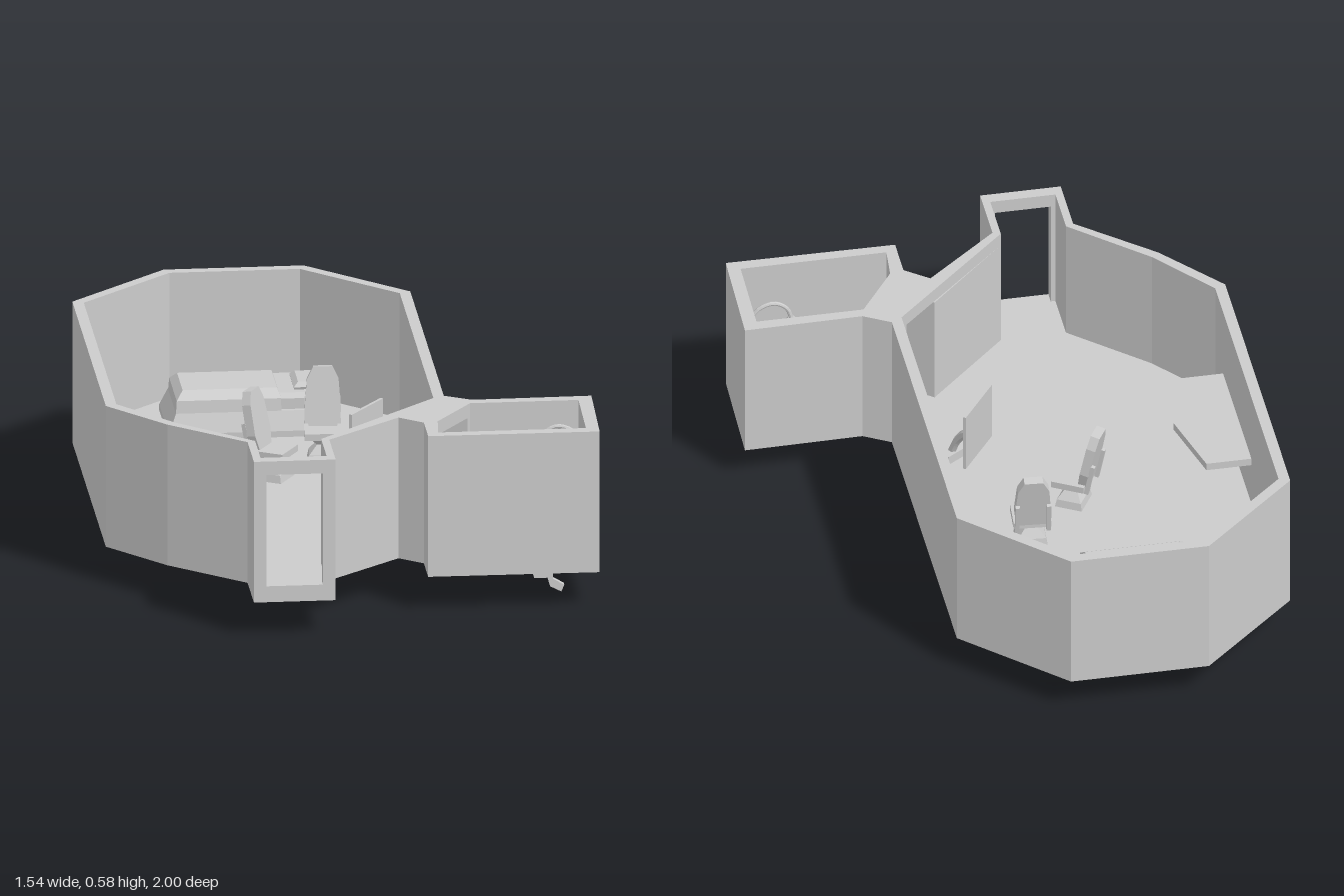
import * as THREE from 'three';

const mat = new THREE.MeshStandardMaterial({ color: 0xcccccc, flatShading: true, side: THREE.DoubleSide });
const FLOOR = 0.17, LINTEL = 0.54, TOP = 0.585;

function add(parent, name, geo, x = 0, y = 0, z = 0) {
  const m = new THREE.Mesh(geo, mat);
  m.name = name;
  m.position.set(x, y, z);
  parent.add(m);
  return m;
}
const box = (p, name, w, h, d, x, y, z) => add(p, name, new THREE.BoxGeometry(w, h, d), x, y, z);

// Floor-plan outline of [x, z] points raised from y0 to y1
const toPoints = pts => pts.map(([x, z]) => new THREE.Vector2(x, -z));
function raise(p, name, pts, y0, y1, holes = []) {
  const s = new THREE.Shape(toPoints(pts));
  holes.forEach(h => s.holes.push(new THREE.Path(toPoints(h))));
  const g = new THREE.ExtrudeGeometry(s, { depth: y1 - y0, bevelEnabled: false });
  return add(p, name, g.rotateX(-Math.PI / 2), 0, y0, 0);
}

// Rectangular sections [x0, x1, z0, z1, y] joined from bottom to top
function loft(p, name, rings, capTop = true) {
  const pos = [], idx = [];
  rings.forEach(([a, b, c, d, y]) => pos.push(a, y, d, b, y, d, b, y, c, a, y, c));
  for (let r = 0; r < rings.length - 1; r++) {
    for (let i = 0; i < 4; i++) {
      const a = r * 4 + i, b = r * 4 + (i + 1) % 4;
      idx.push(a, b, b + 4, a, b + 4, a + 4);
    }
  }
  idx.push(0, 2, 1, 0, 3, 2);
  const t = (rings.length - 1) * 4;
  if (capTop) idx.push(t, t + 1, t + 2, t, t + 2, t + 3);
  const g = new THREE.BufferGeometry();
  g.setAttribute('position', new THREE.Float32BufferAttribute(pos, 3));
  g.setIndex(idx);
  const flat = g.toNonIndexed();
  flat.computeVertexNormals();
  return add(p, name, flat);
}

function tube(p, name, pts, r, sides = 8) {
  const c = new THREE.CatmullRomCurve3(pts.map(q => new THREE.Vector3(...q)));
  return add(p, name, new THREE.TubeGeometry(c, 14, r, sides));
}

// Seat on a flared pedestal with a tapered, reclined back; faces local +z
function chair(x, z, angle) {
  const g = new THREE.Group();
  g.name = 'chair';
  loft(g, 'chairPedestal', [
    [-0.05, 0.05, -0.005, 0.085, FLOOR], [-0.045, 0.045, 0, 0.08, 0.195],
    [-0.02, 0.02, 0.02, 0.06, 0.225], [-0.04, 0.04, 0.005, 0.08, 0.25]]);
  box(g, 'chairSeat', 0.12, 0.022, 0.11, 0, 0.26, 0.04);
  const s = new THREE.Shape([[-0.045, 0], [0.045, 0], [0.058, 0.05], [0.05, 0.15], [0.03, 0.19],
    [-0.03, 0.19], [-0.05, 0.15], [-0.058, 0.05]].map(q => new THREE.Vector2(...q)));
  const back = add(g, 'chairBack', new THREE.ExtrudeGeometry(s, { depth: 0.03, bevelEnabled: false }), 0, 0.265, -0.02);
  back.rotation.x = -0.2;
  for (const sx of [-1, 1]) {
    const brace = box(g, 'chairBrace', 0.014, 0.11, 0.014, sx * 0.05, 0.3, -0.032);
    brace.rotation.x = -0.2;
  }
  g.position.set(x, 0, z);
  g.rotation.y = angle;
  return g;
}

export function createModel() {
  const model = new THREE.Group();
  model.name = 'livingQuarters';

  // Outer outline starts and ends at the front doorway
  const outer = [[-0.1, 1], [-0.1, 0.795], [0.14, 0.59], [0.215, 0.65], [0.215, 0.79], [0.76, 0.795],
    [0.77, 0.425], [0.39, 0.43], [0.305, 0.38], [0.305, -0.7], [-0.005, -1], [-0.45, -1],
    [-0.77, -0.7], [-0.77, 0.38], [-0.595, 0.59], [-0.36, 0.795], [-0.36, 1]];
  const room = [[-0.335, 0.96], [-0.335, 0.785], [-0.57, 0.57], [-0.735, 0.365], [-0.735, -0.685],
    [-0.435, -0.965], [-0.02, -0.965], [0.27, -0.685], [0.27, 0.4]];
  const porch = [[-0.125, 0.785], [-0.125, 0.96]];
  const washroom = [[0.38, 0.465], [0.725, 0.465], [0.72, 0.755], [0.25, 0.755], [0.26, 0.64]];
  const drain = [[0.53, 0.54], [0.65, 0.54], [0.65, 0.67], [0.53, 0.67]];

  // Shell in three layers: floor, walls with doorways, lintel ring
  raise(model, 'floor', outer, 0.117, FLOOR, [drain]);
  raise(model, 'walls', [[-0.14, 1], ...outer, [-0.32, 1], [-0.32, 0.96], ...room, [0.25, 0.42], [0.37, 0.48],
    ...washroom, [0.27, 0.625], [0.14, 0.52], ...porch, [-0.14, 0.96]], FLOOR, LINTEL);
  raise(model, 'lintelRing', outer, LINTEL, TOP, [[...room, ...porch], washroom]);

  // Wall table
  raise(model, 'wallTable', [[-0.735, -0.235], [-0.59, -0.235], [-0.53, 0], [-0.59, 0.235], [-0.735, 0.235]], 0.32, 0.345);

  // Bed
  const bed = new THREE.Group();
  bed.name = 'bed';
  model.add(bed);
  loft(bed, 'bedBase', [[-0.48, 0.06, -0.84, -0.525, FLOOR], [-0.48, 0.06, -0.84, -0.525, 0.19],
    [-0.455, 0.035, -0.815, -0.55, 0.25]]);
  loft(bed, 'mattress', [[-0.445, 0.02, -0.8, -0.565, 0.25], [-0.445, 0.02, -0.8, -0.565, 0.285],
    [-0.435, 0.01, -0.785, -0.58, 0.3]]);
  loft(bed, 'blanket', [[-0.455, -0.12, -0.805, -0.55, 0.25], [-0.452, -0.12, -0.8, -0.555, 0.29],
    [-0.43, -0.13, -0.77, -0.59, 0.315]]);
  loft(bed, 'pillow', [[-0.072, 0.002, -0.745, -0.61, 0.295], [-0.075, 0.005, -0.75, -0.605, 0.308],
    [-0.06, -0.01, -0.735, -0.62, 0.322]]);

  model.add(chair(-0.22, -0.13, Math.PI / 3), chair(-0.01, -0.325, -0.08));

  // Screen on a curved arm
  const screen = box(model, 'screenPanel', 0.197, 0.2, 0.01, 0.0875, 0.36, 0.08);
  screen.rotation.y = Math.atan2(0.16, 0.115);
  tube(model, 'screenArm', [[0.092, 0.33, 0.085], [0.115, 0.31, 0.12], [0.135, 0.25, 0.17], [0.15, 0.18, 0.2]], 0.014, 6);
  const foot = box(model, 'screenFoot', 0.08, 0.03, 0.06, 0.15, 0.185, 0.2);
  foot.rotation.y = 0.6;

  // Washroom basin with an open funnel through the floor
  raise(model, 'basinRim', [[0.51, 0.525], [0.66, 0.525], [0.66, 0.685], [0.51, 0.685], [0.48, 0.65], [0.48, 0.56]],
    FLOOR, 0.2, [drain]);
  loft(model, 'drainFunnel', [[0.565, 0.625, 0.567, 0.66, 0.06], [0.55, 0.625, 0.567, 0.66, 0.12],
    [0.53, 0.65, 0.54, 0.67, 0.19]], false);
  const elbow = new THREE.Shape([[0.607, 0.06], [0.625, 0.06], [0.629, 0.043], [0.665, 0.022], [0.655, 0],
    [0.62, 0.018]].map(q => new THREE.Vector2(...q)));
  add(model, 'drainOutlet', new THREE.ExtrudeGeometry(elbow, { depth: 0.022, bevelEnabled: false }), 0, 0, 0.598);

  // Water pipe from the side wall, with two valves and a spray head
  tube(model, 'waterPipe', [[0.725, 0.48, 0.605], [0.69, 0.53, 0.605], [0.64, 0.545, 0.605], [0.6, 0.52, 0.605], [0.585, 0.48, 0.605]], 0.007);
  add(model, 'sprayHead', new THREE.CylinderGeometry(0.012, 0.035, 0.03, 8), 0.585, 0.468, 0.605);
  for (const z of [0.587, 0.623]) box(model, 'waterValve', 0.016, 0.016, 0.014, 0.714, 0.48, z);
  box(model, 'wallHolder', 0.035, 0.03, 0.05, 0.578, 0.33, 0.73);

  return model;
}
